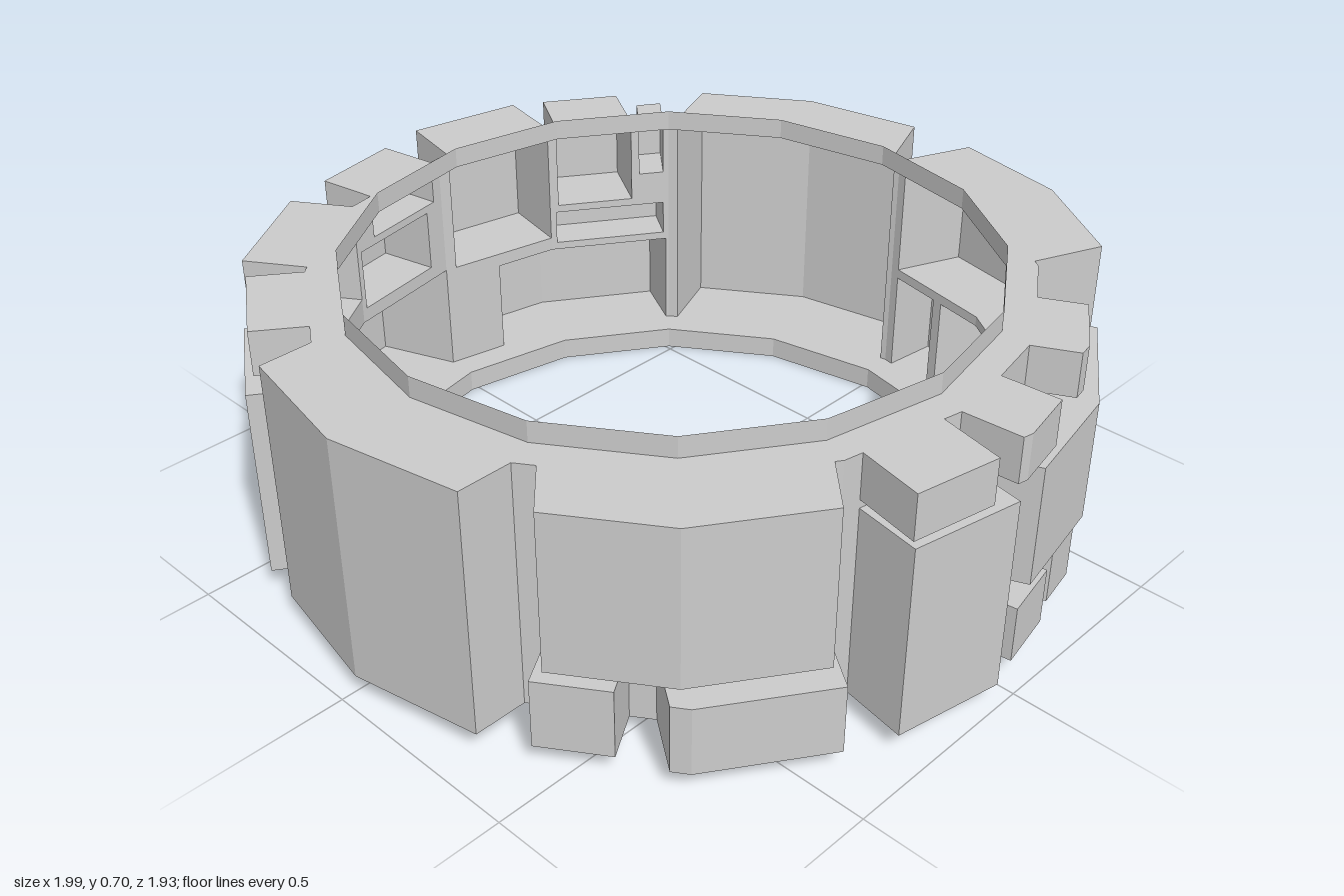
import * as THREE from 'three';

const CX = 0.015, CZ = 0.02, STEP = 22.5;   // ring centre, 16 sides
const R_WALL = 0.82, R_LIP = 0.747;
const Y = [0, 0.055, 0.655, 0.705];         // lip bottom, wall bottom, wall top, lip top

const material = new THREE.MeshStandardMaterial({
  color: 0xcccccc, flatShading: true, side: THREE.DoubleSide,
});

// Raised hollow blocks: [name, start angle, end angle, bottom, top, depth]; 0 = front, 90 = +x
const BLOCKS = [
  ['frontPanel', -22.5, 22.5, 0.055, 0.655, 0.13],
  ['frontLeftUpper', 25.9, 66.2, 0.275, 0.655, 0.147],
  ['frontLeftLowerSmall', 25.9, 38, 0.055, 0.225, 0.12],
  ['frontLeftLowerWide', 42, 66.8, 0.055, 0.225, 0.15],
  ['leftTall', 70.6, 89.6, 0.055, 0.525, 0.16],
  ['leftCapFront', 70.6, 85.1, 0.545, 0.655, 0.16],
  ['leftCapBack', 88.3, 100, 0.545, 0.655, 0.14],
  ['leftBackMiddle', 92.4, 135, 0.23, 0.525, 0.147],
  ['leftBackCap', 110, 124.8, 0.545, 0.655, 0.11],
  ['leftBackLowerSmall', 92, 103, 0.055, 0.195, 0.14],
  ['leftBackLowerWide', 104.5, 134.5, 0.055, 0.195, 0.13],
  ['backLeftUpper', 136.5, 178.3, 0.34, 0.655, 0.18],
  ['backLeftLowerA', 136.5, 142, 0.055, 0.315, 0.16],
  ['backLeftLowerB', 145, 166.5, 0.055, 0.315, 0.15],
  ['backLeftLowerC', 168.5, 178.3, 0.055, 0.315, 0.14],
  ['backPanel', 181, 223.3, 0.055, 0.655, 0.18],
  ['backRightLower', 225.5, 259, 0.055, 0.3, 0.15],
  ['backRightStep', 226, 246.5, 0.32, 0.41, 0.1],
  ['backRightCapSmall', 226, 230.5, 0.5, 0.645, 0.12],
  ['backRightCap', 232, 246, 0.43, 0.655, 0.17],
  ['rightBackUpper', 247.6, 268, 0.335, 0.655, 0.18],
  ['rightLower', 270, 312, 0.055, 0.335, 0.21],
  ['rightCap', 272, 288, 0.545, 0.655, 0.15],
  ['rightMiddle', 274, 291.5, 0.37, 0.525, 0.15],
  ['frontRightUpper', 292.5, 314, 0.4, 0.655, 0.155],
  ['frontRightTall', 315.5, 335.6, 0.055, 0.525, 0.15],
  ['frontRightCap', 315.5, 332.8, 0.545, 0.655, 0.13],
];

const rad = THREE.MathUtils.degToRad;

// Point on the 16-sided outline of radius r at angle a
function ringPoint(a, r, y, shift = [0, 0]) {
  const inSide = ((a % STEP) + STEP) % STEP - STEP / 2;
  const d = r * Math.cos(rad(STEP / 2)) / Math.cos(rad(inSide));
  return [CX + Math.sin(rad(a)) * d + shift[0], y, CZ + Math.cos(rad(a)) * d + shift[1]];
}

// Mesh from four-cornered faces, corners counter-clockwise from outside
function quadMesh(name, quads) {
  const pos = [];
  for (const [a, b, c, d] of quads) pos.push(...a, ...b, ...c, ...a, ...c, ...d);
  const geometry = new THREE.BufferGeometry();
  geometry.setAttribute('position', new THREE.Float32BufferAttribute(pos, 3));
  geometry.computeVertexNormals();
  const mesh = new THREE.Mesh(geometry, material);
  mesh.name = name;
  return mesh;
}

// Patch of the ring outline pushed straight out along its middle direction, open at the back
function block([name, a0, a1, y0, y1, depth]) {
  const mid = rad((a0 + a1) / 2);
  const out = [Math.sin(mid) * depth, Math.cos(mid) * depth];
  const angles = [a0];
  for (let v = Math.floor(a0 / STEP + 1) * STEP; v < a1 - 0.01; v += STEP) angles.push(v);
  angles.push(a1);
  const base = (a, y) => ringPoint(a, R_WALL, y);
  const face = (a, y) => ringPoint(a, R_WALL, y, out);
  const quads = [
    [base(a0, y0), face(a0, y0), face(a0, y1), base(a0, y1)],
    [face(a1, y0), base(a1, y0), base(a1, y1), face(a1, y1)],
  ];
  for (let i = 0; i + 1 < angles.length; i++) {
    const p = angles[i], q = angles[i + 1];
    quads.push(
      [face(p, y0), face(q, y0), face(q, y1), face(p, y1)],
      [face(p, y1), face(q, y1), base(q, y1), base(p, y1)],
      [base(p, y0), base(q, y0), face(q, y0), face(p, y0)],
    );
  }
  return quadMesh(name, quads);
}

// Wall strips left between the block openings
function wall() {
  const sorted = (list) => [...new Set(list)].sort((a, b) => a - b);
  const corners = Array.from({ length: 17 }, (_, i) => i * STEP);
  const angles = sorted([...corners, ...BLOCKS.flatMap((b) => [(b[1] + 360) % 360, b[2]])]);
  const heights = sorted([Y[1], Y[2], ...BLOCKS.flatMap((b) => [b[3], b[4]])]);
  const covered = (a, y) => BLOCKS.some(([, a0, a1, y0, y1]) =>
    (a - a0 + 360) % 360 < a1 - a0 && y > y0 && y < y1);
  const quads = [];
  for (let i = 0; i + 1 < angles.length; i++) {
    for (let j = 0; j + 1 < heights.length; j++) {
      const [p, q, y0, y1] = [angles[i], angles[i + 1], heights[j], heights[j + 1]];
      if (covered((p + q) / 2, (y0 + y1) / 2)) continue;
      quads.push([ringPoint(p, R_WALL, y0), ringPoint(q, R_WALL, y0),
        ringPoint(q, R_WALL, y1), ringPoint(p, R_WALL, y1)]);
    }
  }
  return quadMesh('ringWall', quads);
}

// Band of 16 faces joining two outlines, lower/inner first
function band(name, r0, y0, r1, y1) {
  const quads = [];
  for (let a = 0; a < 360; a += STEP) {
    quads.push([ringPoint(a, r0, y0), ringPoint(a + STEP, r0, y0),
      ringPoint(a + STEP, r1, y1), ringPoint(a, r1, y1)]);
  }
  return quadMesh(name, quads);
}

export function createModel() {
  const group = new THREE.Group();
  group.name = 'blockRing';
  group.add(
    wall(),
    band('bottomLip', R_LIP, Y[0], R_LIP, Y[1]),
    band('bottomLedge', R_LIP, Y[1], R_WALL, Y[1]),
    band('topLedge', R_WALL, Y[2], R_LIP, Y[2]),
    band('topLip', R_LIP, Y[2], R_LIP, Y[3]),
  );
  for (const spec of BLOCKS) group.add(block(spec));
  return group;
}
